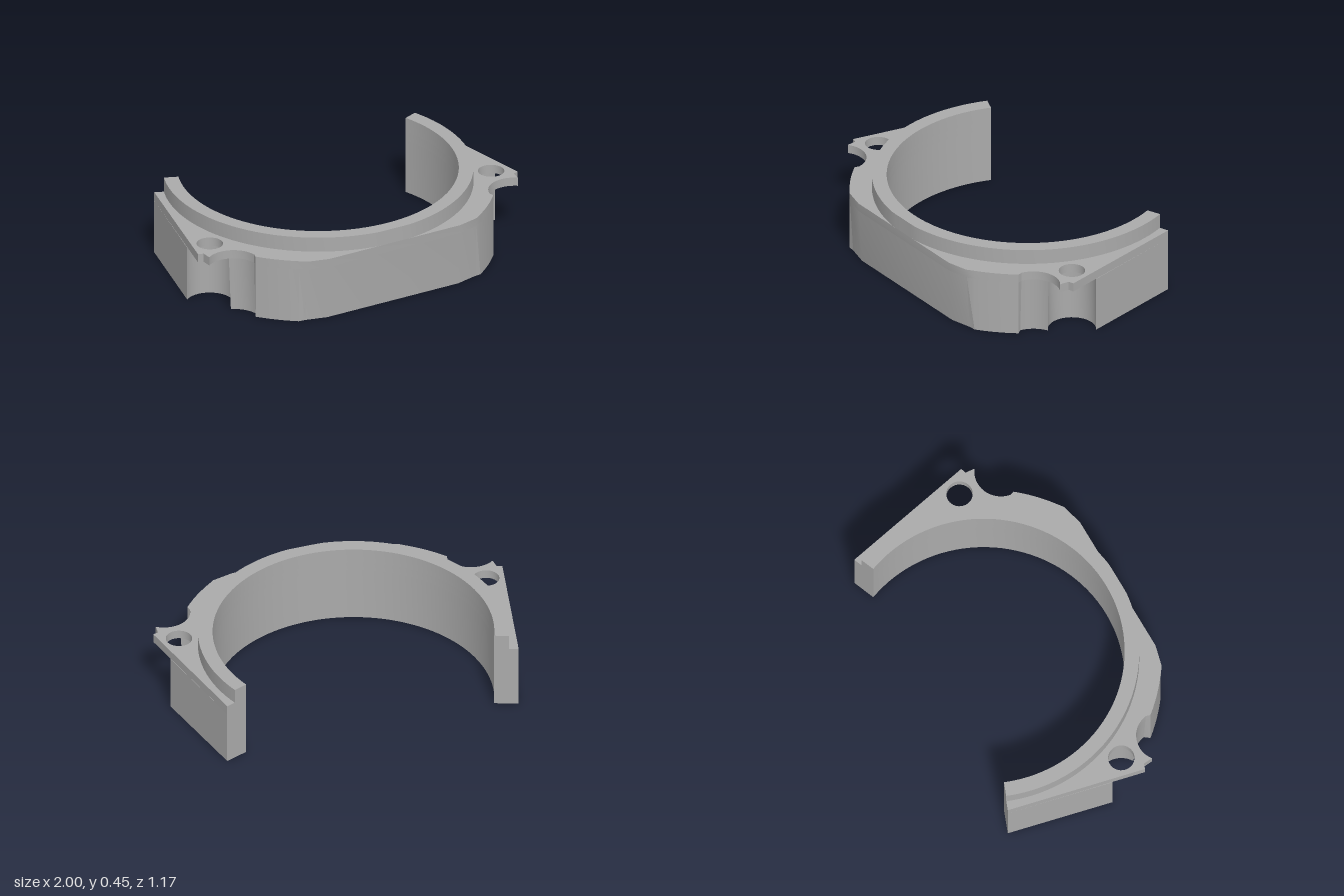
import * as THREE from 'three';
import { toCreasedNormals } from 'three/addons/utils/BufferGeometryUtils.js';

const CZ = -0.255;              // bore centre on z
const INNER = 0.765, RIM = 0.845;
const TIP = -0.378;             // angle of the open ends
const BOLT = [0.88, 0.1], NOTCH = [0.88, 0.36];
const POCKET_R = 0.132;
const rad = THREE.MathUtils.degToRad;

// Points on an arc in plan (x, z)
function arc([cx, cz], r, a0, a1, n) {
  return Array.from({ length: n + 1 }, (_, i) => {
    const a = a0 + (a1 - a0) * i / n;
    return new THREE.Vector2(cx + r * Math.cos(a), cz + r * Math.sin(a));
  });
}

// Solid between two matching plan outlines, each a list of [contour, ...holes]
function loft(lower, upper, y0, y1) {
  const pos = [];
  const put = (p, y) => pos.push(p.x, y, p.y);
  lower.forEach((low, k) => {
    const high = upper[k];
    low.forEach((a, i) => {
      const j = (i + 1) % low.length;
      put(a, y0); put(high[j], y1); put(low[j], y0);
      put(a, y0); put(high[i], y1); put(high[j], y1);
    });
  });
  const cap = (loops, y, up) => {
    const all = loops.flat();
    for (const [a, b, c] of THREE.ShapeUtils.triangulateShape(loops[0], loops.slice(1))) {
      const ccw = !THREE.ShapeUtils.isClockWise([all[a], all[b], all[c]]);
      for (const v of ccw !== up ? [a, b, c] : [a, c, b]) put(all[v], y);
    }
  };
  cap(lower, y0, false);
  cap(upper, y1, true);
  const g = new THREE.BufferGeometry();
  g.setAttribute('position', new THREE.Float32BufferAttribute(pos, 3));
  return toCreasedNormals(g, 0.45);
}

// Mirror a right-hand outer edge (front to tip) and close it along the bore
function closeOutline(half) {
  const left = half.map(p => new THREE.Vector2(-p.x, p.y)).reverse();
  const bore = arc([0, CZ], INNER, TIP, Math.PI - TIP, 72);
  const pts = [...half, ...bore, ...left];
  return THREE.ShapeUtils.isClockWise(pts) ? pts.reverse() : pts;
}

// Outer edge shared by body and flange up to the side notch
function frontEdge(frontZ) {
  return [
    new THREE.Vector2(0.41, frontZ),
    new THREE.Vector2(0.53, frontZ - 0.03),
    ...arc([0, CZ], 0.966, rad(54), rad(39.6), 6),
  ];
}
const tip = () => new THREE.Vector2(0.835, -0.585);

// Body: the notch runs into a bolt pocket behind it
function bodyOutline(frontZ, notchR) {
  const d = NOTCH[1] - BOLT[1];
  const along = (d * d + POCKET_R ** 2 - notchR ** 2) / (2 * d);
  const h = Math.sqrt(POCKET_R ** 2 - along ** 2);
  const cuspNotch = Math.atan2(along - d, -h) + 2 * Math.PI;
  const cuspPocket = Math.atan2(along, -h);
  return [closeOutline([
    ...frontEdge(frontZ),
    ...arc(NOTCH, notchR, rad(190), cuspNotch, 10),
    ...arc(BOLT, POCKET_R, cuspPocket, rad(309), 24).slice(1),
    tip(),
  ])];
}

// Flange: ears with bolt holes reach over the pockets
function flangeOutline(frontZ) {
  const holes = [1, -1].map(s =>
    arc([s * BOLT[0], BOLT[1]], 0.072, 0, -2 * Math.PI, 32).slice(0, -1));
  return [closeOutline([
    ...frontEdge(frontZ),
    ...arc(NOTCH, 0.145, rad(190), rad(306), 16),
    new THREE.Vector2(0.97, 0.19),
    new THREE.Vector2(1.0, 0.18),
    tip(),
  ]), ...holes];
}

// Raised rim, trimmed flush with the front face
function rimOutline() {
  const half = arc([0, CZ], RIM, Math.PI / 2, TIP, 48);
  half.forEach(p => { p.y = Math.min(p.y, 0.585); });
  return [closeOutline(half.slice(1))];
}

export function createModel() {
  const group = new THREE.Group();
  group.name = 'halfRingClamp';
  const grey = new THREE.MeshStandardMaterial({ color: 0xaaaaaa });
  grey.name = 'grey';
  const add = (name, geometry) => {
    const mesh = new THREE.Mesh(geometry, grey);
    mesh.name = name;
    group.add(mesh);
  };
  // The front face leans inwards towards the base
  add('body', loft(bodyOutline(0.56, 0.16), bodyOutline(0.5815, 0.146), 0, 0.315));
  add('flange', loft(flangeOutline(0.5815), flangeOutline(0.585), 0.315, 0.365));
  add('rim', loft(rimOutline(), rimOutline(), 0.365, 0.45));
  return group;
}
